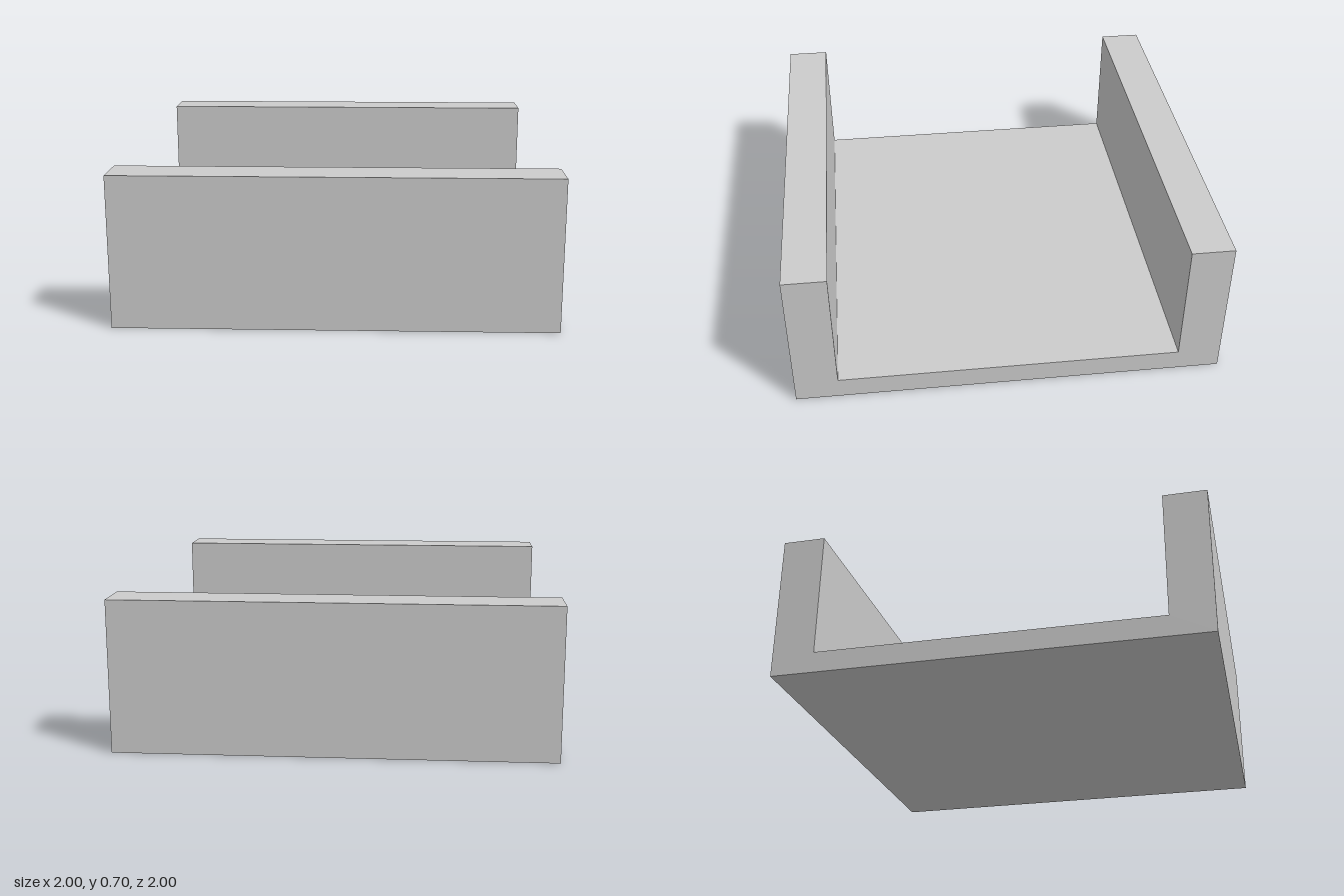
import * as THREE from 'three';

const LENGTH = 2, HALF_WIDTH = 1, HEIGHT = 0.7, WALL = 0.2, FLOOR = 0.1;

export function createModel() {
  const group = new THREE.Group();
  group.name = 'channel';

  // U-shaped cross-section: a thin floor between two thick walls
  const inner = HALF_WIDTH - WALL;
  const profile = new THREE.Shape([
    [-HALF_WIDTH, 0], [HALF_WIDTH, 0], [HALF_WIDTH, HEIGHT], [inner, HEIGHT],
    [inner, FLOOR], [-inner, FLOOR], [-inner, HEIGHT], [-HALF_WIDTH, HEIGHT],
  ].map(([x, y]) => new THREE.Vector2(x, y)));

  // Run the section along x, with the walls at front and back
  const geometry = new THREE.ExtrudeGeometry(profile, { depth: LENGTH, bevelEnabled: false });
  geometry.translate(0, 0, -LENGTH / 2).rotateY(Math.PI / 2);

  const body = new THREE.Mesh(geometry, new THREE.MeshStandardMaterial({ color: 0xcccccc }));
  body.name = 'channelBody';
  group.add(body);
  return group;
}
